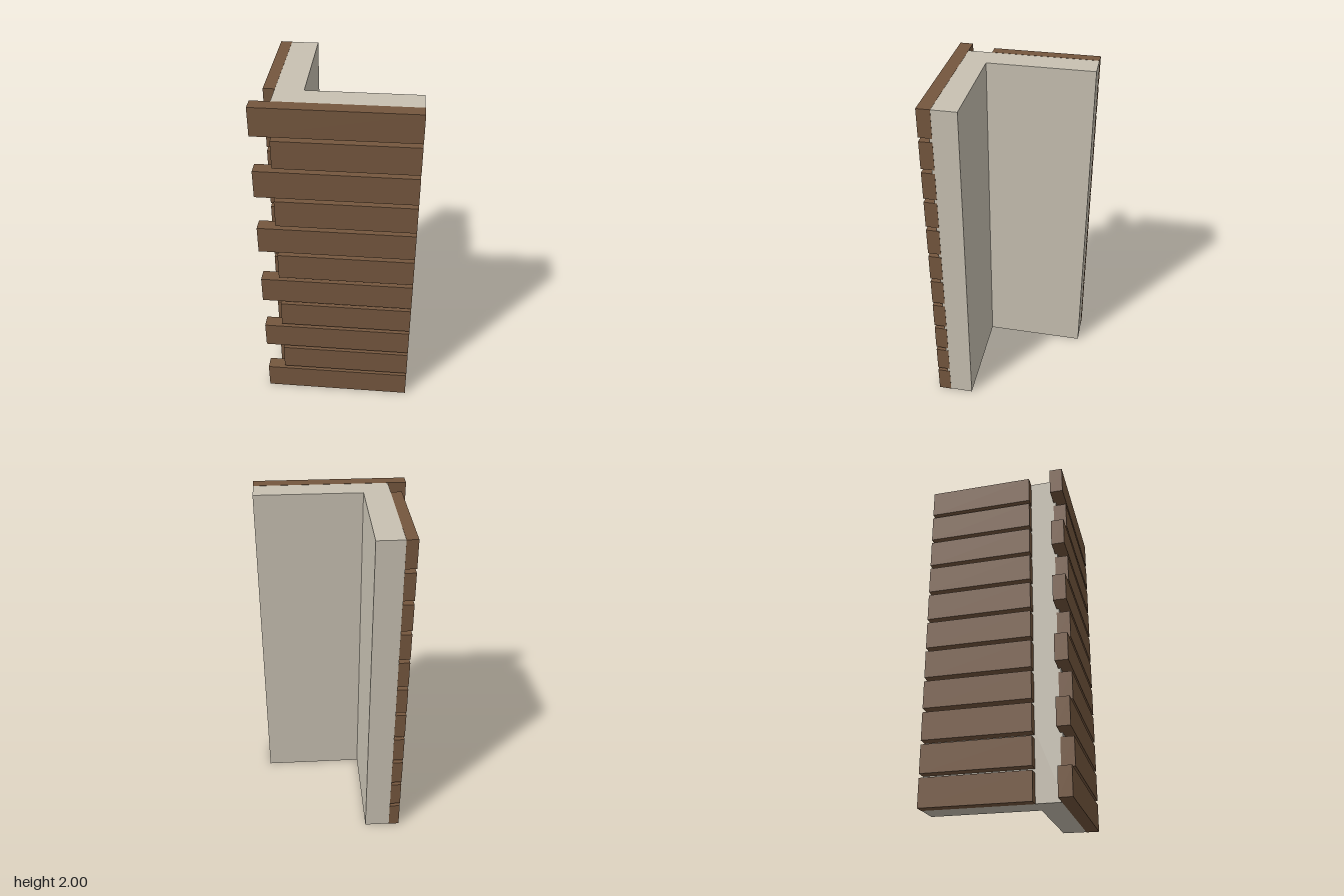
import * as THREE from 'three';

export function createModel() {
  const group = new THREE.Group();
  const wood = new THREE.MeshStandardMaterial({ color: 0x75573e });
  const plaster = new THREE.MeshStandardMaterial({ color: 0xc8c1b2 });

  // Box given by its extents on each axis
  function box(name, material, [x0, x1], [y0, y1], [z0, z1]) {
    const mesh = new THREE.Mesh(new THREE.BoxGeometry(x1 - x0, y1 - y0, z1 - z0), material);
    mesh.position.set((x0 + x1) / 2, (y0 + y1) / 2, (z0 + z1) / 2);
    mesh.name = name;
    group.add(mesh);
  }

  // L-shaped wall core; shape y becomes -z once laid flat.
  // It sits a hair inside the planks where they overlap it.
  const outline = [[-0.331, 0.413], [-0.179, 0.413], [-0.179, -0.2], [0.435, -0.2], [0.435, -0.352], [-0.331, -0.352]];
  const shape = new THREE.Shape(outline.map(([x, y]) => new THREE.Vector2(x, y)));
  const coreGeometry = new THREE.ExtrudeGeometry(shape, { depth: 1.998, bevelEnabled: false });
  coreGeometry.rotateX(-Math.PI / 2);
  const core = new THREE.Mesh(coreGeometry, plaster);
  core.position.y = 0.001;
  core.name = 'wallCore';
  group.add(core);

  // Rows of planks: the front ones alternately overshoot the corner
  const rows = 11, height = 0.161;
  const pitch = (2 - height) / (rows - 1);
  for (let i = 0; i < rows; i++) {
    const y = [i * pitch, i * pitch + height];
    const left = i % 2 === 0 ? -0.437 : -0.332;
    box('frontPlank', wood, [left, 0.437], y, [0.338, 0.413]);
    box('sidePlank', wood, [-0.393, -0.33], y, [-0.414, 0.2]);
  }
  return group;
}
